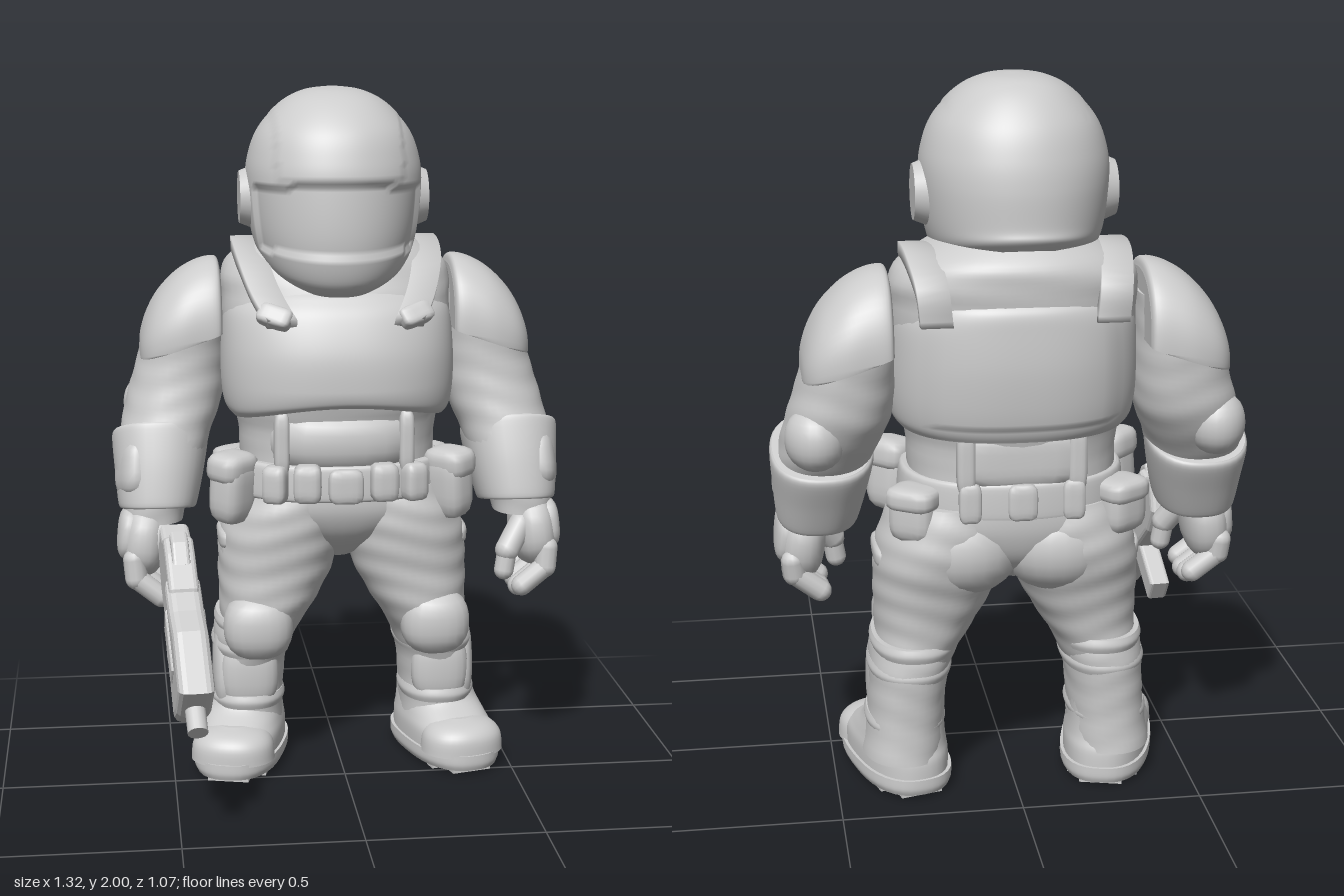
import * as THREE from 'three';
import { mergeVertices } from 'three/addons/utils/BufferGeometryUtils.js';

const grey = new THREE.MeshStandardMaterial({ color: 0xcccccc });
grey.name = 'plain grey';

function add(group, name, geometry) {
  const mesh = new THREE.Mesh(geometry, grey);
  mesh.name = name;
  group.add(mesh);
  return mesh;
}

// Smooth body through horizontal rings, lowest first: [y, cx, cz, rx, rz, tiltZ]
function loft(rows, { n = 40, m = 5, p = 2.3, ripple = 0, rule } = {}) {
  const pos = [], idx = [], steps = (rows.length - 1) * m;
  const at = (i, k) => rows[Math.min(Math.max(i, 0), rows.length - 1)][k] ?? 0;
  const v = new THREE.Vector3();
  for (let j = 0; j <= steps; j++) {
    const i = Math.min(Math.floor(j / m), rows.length - 2), t = j / m - i;
    const [y, cx, cz, rx, rz, tz] = [0, 1, 2, 3, 4, 5].map((k) => {
      const a = at(i - 1, k), b = at(i, k), c = at(i + 1, k), d = at(i + 2, k);
      return b + 0.5 * t * (c - a + t * (2 * a - 5 * b + 4 * c - d + t * (3 * (b - c) + d - a)));
    });
    for (let q = 0; q < n; q++) {
      const th = (q / n) * Math.PI * 2, c = Math.cos(th), s = Math.sin(th);
      const w = (1 + ripple * Math.sin(y * 80 + 2 * Math.sin(th * 2))) /
        Math.pow(Math.abs(c) ** p + Math.abs(s) ** p, 1 / p);
      const dx = rx * c * w, dz = rz * s * w;
      v.set(cx + dx, y + tz * dz, cz + dz);
      if (rule) rule(v);
      pos.push(v.x, v.y, v.z);
      if (j < steps) {
        const a = j * n + q, b = j * n + (q + 1) % n;
        idx.push(a, a + n, b, b, a + n, b + n);
      }
    }
  }
  for (const top of [false, true]) {   // end caps with their own corners
    const from = top ? steps * n : 0, base = pos.length / 3, mid = [0, 0, 0];
    for (let q = 0; q < n * 3; q++) {
      pos.push(pos[from * 3 + q]);
      mid[q % 3] += pos[from * 3 + q] / n;
    }
    pos.push(...mid);
    for (let q = 0; q < n; q++) {
      const a = base + q, b = base + (q + 1) % n;
      idx.push(base + n, top ? b : a, top ? a : b);
    }
  }
  const g = new THREE.BufferGeometry();
  g.setAttribute('position', new THREE.Float32BufferAttribute(pos, 3));
  g.setIndex(idx);
  g.computeVertexNormals();
  return g;
}

// Rounded block: p = 2 is an ellipsoid, higher is boxier
function block(group, name, [x, y, z], [rx, ry, rz], p = 5, [ax, ay, az] = [0, 0, 0]) {
  let g = new THREE.SphereGeometry(1, 24, 14);
  g.deleteAttribute('uv');
  g.deleteAttribute('normal');
  g = mergeVertices(g);
  const a = g.attributes.position, v = new THREE.Vector3();
  for (let i = 0; i < a.count; i++) {
    v.fromBufferAttribute(a, i);
    v.divideScalar(Math.pow(Math.abs(v.x) ** p + Math.abs(v.y) ** p + Math.abs(v.z) ** p, 1 / p));
    a.setXYZ(i, v.x * rx, v.y * ry, v.z * rz);
  }
  g.computeVertexNormals();
  const mesh = add(group, name, g);
  mesh.position.set(x, y, z);
  mesh.rotation.set(ax, ay, az);
}

function capsule(group, name, a, b, r) {
  const A = new THREE.Vector3(...a), d = new THREE.Vector3(...b).sub(A), len = d.length();
  const mesh = add(group, name, new THREE.CapsuleGeometry(r, len, 5, 12));
  mesh.position.copy(A).addScaledVector(d, 0.5);
  mesh.quaternion.setFromUnitVectors(new THREE.Vector3(0, 1, 0), d.normalize());
}

// Build a left part, then its baked mirror image on the right
function both(root, name, build) {
  const left = new THREE.Group(), right = new THREE.Group();
  left.name = name + 'Left';
  right.name = name + 'Right';
  build(left);
  for (const mesh of left.children) {
    mesh.updateMatrix();
    const g = mesh.geometry.clone().applyMatrix4(mesh.matrix).scale(-1, 1, 1);
    g.setIndex(Array.from(g.index.array).reverse());
    add(right, mesh.name, g);
  }
  root.add(left, right);
  return [left, right];
}

function helmet(root) {
  const shape = (v) => {
    const x = Math.abs(v.x + 0.01);
    // sunken visor
    if (v.z > -0.12 && v.y < 1.735 - 0.15 * x * x && v.y > 1.535 + 0.3 * x * x) {
      v.x = -0.01 + (v.x + 0.01) * 0.965;
      v.z -= 0.012;
    }
    // raised crown panel
    if (x < 0.18 && v.z > -0.36 && v.y > 1.75) { v.y += 0.003; v.z += 0.005; }
  };
  add(root, 'helmet', loft([
    [1.495, -.01, -.25, .17, .24, -.32], [1.53, -.01, -.235, .215, .275, -.25],
    [1.6, -.01, -.22, .24, .285, -.1], [1.72, -.01, -.22, .253, .282], [1.8, -.01, -.22, .247, .268],
    [1.88, -.01, -.222, .217, .235], [1.95, -.01, -.23, .153, .17],
    [1.985, -.01, -.24, .085, .1], [1.996, -.01, -.245, .012, .012]],
  { n: 112, m: 9, p: 2.12, rule: shape }));
  both(root, 'ear', (g) => {
    const cup = add(g, 'earDisc', new THREE.CylinderGeometry(0.075, 0.095, 0.05, 36));
    cup.rotation.z = -Math.PI / 2;
    cup.position.set(0.247, 1.685, -0.23);
  }).forEach((g) => { g.position.x = -0.01; });
}

function torso(root) {
  add(root, 'torso', loft([
    [.9, 0, -.235, .285, .235], [1.02, 0, -.235, .29, .235], [1.12, 0, -.235, .31, .26],
    [1.25, 0, -.24, .33, .27], [1.4, 0, -.265, .335, .25], [1.48, 0, -.285, .33, .235],
    [1.535, 0, -.29, .275, .22], [1.59, 0, -.28, .17, .17]], { ripple: .004 }));
  add(root, 'vest', loft([
    [1.06, 0, -.225, .31, .275], [1.09, 0, -.225, .33, .29], [1.16, 0, -.228, .34, .3],
    [1.26, 0, -.235, .34, .3], [1.36, 0, -.25, .33, .28], [1.41, 0, -.265, .3, .258],
    [1.435, 0, -.27, .27, .235]],
  { n: 80, m: 7, p: 2.4, rule: (v) => {
    if (v.z > -.15) v.y += .05 * Math.max(0, 1 - (v.x / .3) ** 2) * Math.min(1, Math.max(0, (1.16 - v.y) / .1));
    if (v.z < -.3 && Math.abs(v.x) < .24 && v.y > 1.1) v.z -= .006;
  } }));
  block(root, 'abdomenPlate', [0, 1.0, -.12], [.22, .11, .15], 2.6);
  block(root, 'backBrace', [0, 1.0, -.43], [.16, .08, .045], 4);
  both(root, 'harness', (g) => {
    // flat strap over the shoulder
    const path = [[.23, 1.38, -.5], [.24, 1.47, -.49], [.255, 1.53, -.4], [.26, 1.54, -.28],
      [.25, 1.5, -.13], [.22, 1.42, -.035], [.18, 1.35, .03]];
    const curve = new THREE.CatmullRomCurve3(path.map((q) => new THREE.Vector3(...q)));
    const pos = [], idx = [], N = 30, side = new THREE.Vector3(1, 0, 0);
    for (let i = 0; i <= N; i++) {
      const c = curve.getPoint(i / N), out = curve.getTangent(i / N).cross(side).normalize();
      for (const [a, b] of [[-1, -1], [-1, 1], [1, 1], [1, -1]]) {
        const q = c.clone().addScaledVector(side, a * .042).addScaledVector(out, b * .02);
        pos.push(q.x, q.y, q.z);
      }
      for (let k = 0; k < 4 && i < N; k++) {
        const a = i * 4 + k, b = i * 4 + (k + 1) % 4;
        idx.push(a, a + 4, b, b, a + 4, b + 4);
      }
    }
    idx.push(0, 1, 2, 0, 2, 3, N * 4, N * 4 + 2, N * 4 + 1, N * 4, N * 4 + 3, N * 4 + 2);
    const strap = new THREE.BufferGeometry();
    strap.setAttribute('position', new THREE.Float32BufferAttribute(pos, 3));
    strap.setIndex(idx);
    strap.computeVertexNormals();
    add(g, 'shoulderStrap', strap);
    block(g, 'strapBuckle', [.2, 1.37, .015], [.05, .03, .025], 5, [-.6, .2, .45]);
    block(g, 'waistStrap', [.18, 1.0, -.02], [.022, .09, .03], 5);
    block(g, 'backWaistStrap', [.15, 1.0, -.45], [.025, .09, .025], 5);
  });
}

function hips(root) {
  add(root, 'pelvis', loft([
    [.63, 0, -.25, .05, .1], [.7, 0, -.245, .2, .19], [.78, 0, -.24, .315, .23],
    [.86, 0, -.24, .305, .235], [.93, 0, -.235, .285, .23]]));
  add(root, 'belt', loft([
    [.83, 0, -.225, .305, .245], [.845, 0, -.225, .313, .252], [.92, 0, -.225, .307, .25],
    [.935, 0, -.225, .295, .242]]));
  block(root, 'buckle', [0, .88, .03], [.05, .05, .025]);
  block(root, 'rearBuckle', [0, .885, -.47], [.04, .05, .02]);
  both(root, 'beltPouches', (g) => {
    block(g, 'frontPouch', [.11, .89, .025], [.04, .055, .035], 5, [0, .12, 0]);
    block(g, 'middlePouch', [.2, .885, 0], [.035, .055, .035], 5, [0, .4, 0]);
    block(g, 'hipPouch', [.315, .855, -.085], [.055, .1, .065], 3.6, [0, .75, .08]);
    block(g, 'hipPouchFlap', [.318, .92, -.084], [.058, .045, .07], 3.6, [0, .75, .08]);
    block(g, 'rearPouch', [.28, .84, -.385], [.065, .075, .055], 4, [0, -.6, 0]);
    block(g, 'rearPouchFlap', [.282, .885, -.388], [.07, .033, .06], 4, [0, -.6, 0]);
    block(g, 'rearClip', [.14, .885, -.46], [.03, .055, .02], 5);
  });
}

function legs(root) {
  const pair = both(root, 'leg', (g) => {
    add(g, 'trouserLeg', loft([
      [.34, .265, -.23, .1, .15], [.42, .25, -.225, .118, .18], [.5, .225, -.22, .143, .195],
      [.6, .2, -.23, .17, .21], [.7, .185, -.24, .178, .232], [.78, .17, -.24, .165, .235],
      [.86, .15, -.24, .14, .22]], { ripple: .009, m: 8 }));
    block(g, 'buttock', [.13, .73, -.335], [.16, .14, .15], 2.1);
    block(g, 'cargoPocket', [.33, .63, -.23], [.035, .085, .095], 4, [0, 0, -.04]);
    block(g, 'cargoFlap', [.335, .685, -.23], [.036, .03, .1], 4, [0, 0, -.04]);
    add(g, 'bootShaft', loft([
      [.1, .295, -.25, .115, .16], [.2, .287, -.25, .108, .155], [.3, .28, -.25, .108, .16],
      [.38, .272, -.24, .115, .175], [.43, .265, -.235, .113, .17]], { ripple: .008 }));
    for (const [y, x, rx, rz] of [[.43, .262, .122, .182], [.36, .274, .119, .176], [.2, .288, .114, .162]])
      add(g, 'bootStrap', loft([[y - .02, x, -.24, rx - .006, rz - .006], [y, x, -.24, rx, rz],
        [y + .02, x, -.24, rx - .006, rz - .006]]));
    block(g, 'kneePad', [.262, .44, -.085], [.102, .098, .085], 2.5);
    block(g, 'shinPlate', [.285, .28, -.135], [.085, .11, .05], 2.6);
    block(g, 'sideGuard', [.352, .29, -.2], [.04, .13, .085], 2.8, [-.2, 0, 0]);
    // turned-out boot
    const boot = [
      ['sole', loft([[.012, 0, 0, .122, .232], [.03, 0, 0, .13, .238], [.058, 0, 0, .13, .238]], { p: 2.5 })],
      ['foot', loft([[.05, 0, 0, .122, .23], [.1, 0, -.005, .122, .222], [.135, 0, -.03, .115, .185],
        [.18, 0, -.065, .105, .145], [.24, -.005, -.075, .097, .135]], { p: 2.4 })],
      ['toeCap', loft([[.05, 0, .13, .123, .103], [.1, 0, .13, .117, .098], [.13, 0, .12, .09, .08],
        [.145, 0, .11, .04, .04]], { p: 2.2 })]];
    for (let i = 0; i < 7; i++)
      boot.push(['tread', new THREE.BoxGeometry(i % 6 ? .2 : .12, .02, .04).translate(0, .01, -.189 + i * .063)]);
    for (const [name, geo] of boot) {
      const mesh = add(g, name, geo);
      mesh.position.set(.308, 0, -.18);
      mesh.rotation.y = .26;
    }
  });
  for (const g of pair) g.position.x = .015;
}

function arms(root) {
  both(root, 'arm', (g) => {
    add(g, 'sleeve', loft([
      [.76, .545, -.155, .085, .1], [.82, .54, -.17, .095, .115], [.9, .525, -.2, .12, .14],
      [1.0, .505, -.25, .132, .16], [1.1, .475, -.29, .14, .172], [1.2, .455, -.305, .13, .17],
      [1.32, .44, -.31, .112, .17], [1.42, .41, -.31, .08, .14]], { ripple: .007, m: 7 }));
    // quarter dome: rings run outward along x, flattened at the lower rim
    add(g, 'shoulderPad', loft([
      [.338, -1.29, -.31, .19, .175], [.35, -1.29, -.31, .215, .193], [.4, -1.285, -.31, .213, .198],
      [.46, -1.275, -.31, .19, .197], [.515, -1.26, -.31, .15, .18], [.55, -1.245, -.31, .105, .15],
      [.57, -1.235, -.31, .055, .1], [.575, -1.235, -.31, .01, .02]],
    { n: 56, p: 2.3, rule: (v) => {
      v.x = Math.min(v.x, .35 * (v.y - .34) - 1.3);
    } }).rotateZ(-Math.PI / 2));
    block(g, 'elbowPad', [.545, 1.06, -.39], [.075, .085, .085], 2.2, [0, .5, 0]);
    add(g, 'forearmGuard', loft([
      [.785, .532, -.175, .106, .131, .2], [.8, .532, -.18, .115, .138, .22], [.89, .525, -.21, .13, .146, .3],
      [.98, .52, -.245, .141, .15, .37], [1.0, .52, -.25, .134, .144, .37]], { p: 2.4 }));
    block(g, 'guardPlate', [.595, .91, -.15], [.05, .085, .08], 3.5, [-.3, -.3, .06]);
    // hand with curled fingers
    block(g, 'palm', [.575, .7, -.14], [.065, .105, .115], 2.6, [-.1, 0, .1]);
    block(g, 'handPlate', [.617, .72, -.14], [.035, .075, .09], 3, [-.1, 0, .1]);
    for (let i = 0; i < 4; i++) {
      const z = -.225 + i * .057, drop = [.03, .008, 0, .015][i];
      capsule(g, 'fingerBase', [.605, .66, z], [.6, .59 + drop, z + .005], .033);
      capsule(g, 'fingerTip', [.6, .59 + drop, z + .005], [.53, .535 + drop, z + .01], .031);
    }
    capsule(g, 'thumbBase', [.53, .73, -.075], [.485, .66, -.045], .036);
    capsule(g, 'thumbTip', [.485, .66, -.045], [.475, .6, -.04], .029);
  });
}

function rifle(root) {
  const gun = new THREE.Group();
  gun.name = 'rifle';
  // side outlines as [z, y]
  const slab = (name, outline, width, bevel = .01) => {
    const shape = new THREE.Shape(outline.map((q) => new THREE.Vector2(...q)));
    const depth = width - 2 * bevel;
    add(gun, name, new THREE.ExtrudeGeometry(shape, { depth, bevelThickness: bevel, bevelSize: bevel,
      bevelOffset: -bevel, bevelSegments: 3 }).translate(0, 0, -depth / 2).rotateY(-Math.PI / 2));
  };
  slab('handguard', [[.524, .444], [.434, .35], [.365, .312], [.26, .423], [.16, .556], [.2, .68], [.307, .61], [.39, .577]], .1, .025);
  slab('receiver', [[.25, .655], [.28, .48], [.19, .503], [.127, .52], [.03, .6], [-.02, .677], [.01, .778],
    [.074, .757], [.116, .767], [.164, .735]], .085, .015);
  slab('grip', [[.16, .54], [.138, .524], [.01, .44], [.048, .38], [.18, .466], [.22, .52]], .06);
  slab('sidePanel', [[.4, .47], [.36, .42], [.22, .54], [.25, .6]], .112);
  slab('sight', [[.2, .71], [.13, .69], [.09, .755], [.12, .785], [.16, .765]], .05);
  const barrel = add(gun, 'muzzle', new THREE.CylinderGeometry(.028, .028, .16, 16));
  barrel.position.set(0, .382, .45);
  barrel.rotation.x = Math.PI / 2 + .7;
  gun.position.x = -.493;
  gun.rotation.y = .08;
  root.add(gun);
}

export function createModel() {
  const root = new THREE.Group();
  root.name = 'armouredSoldier';
  for (const part of [helmet, torso, hips, legs, arms, rifle]) part(root);
  return root;
}
